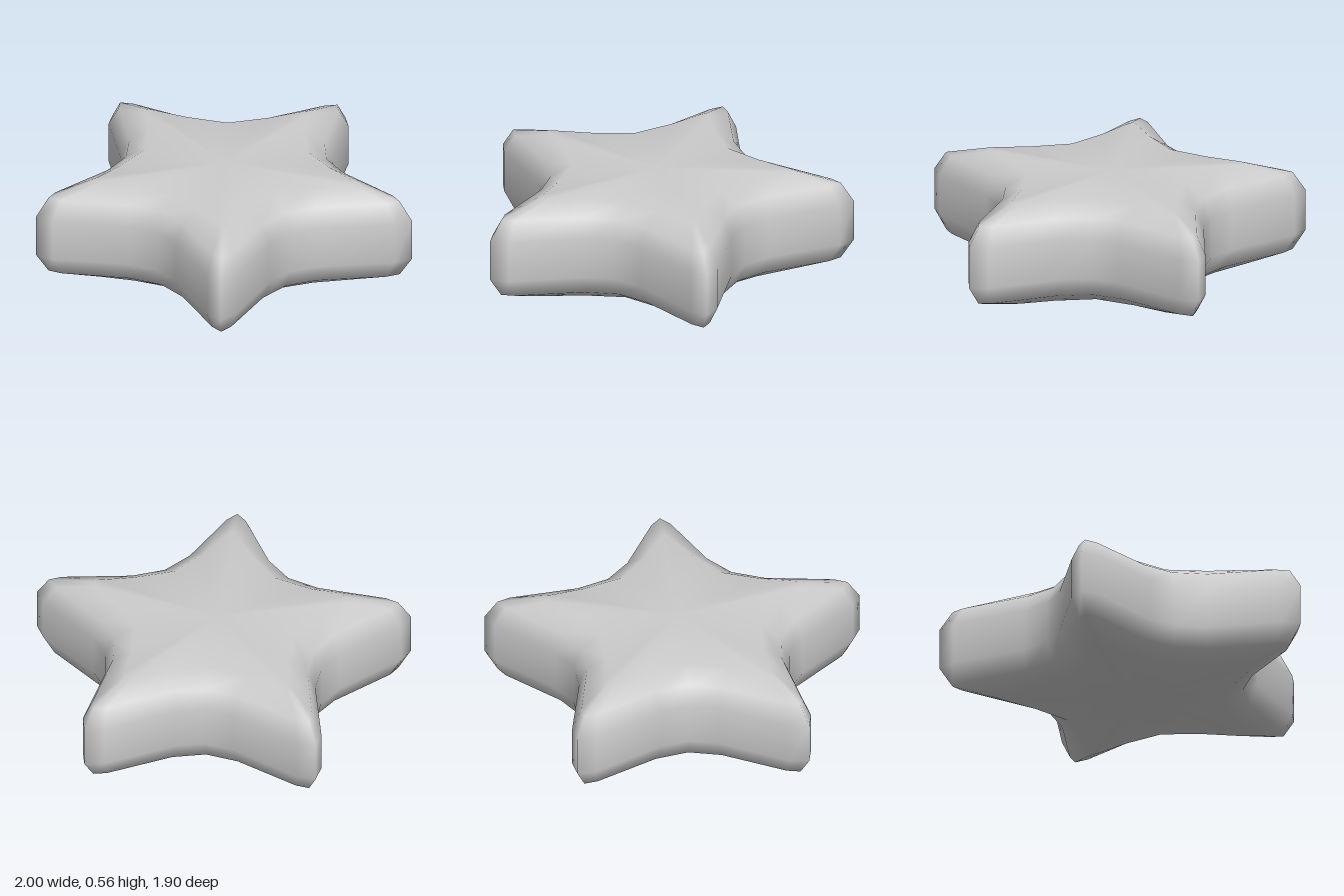
import * as THREE from 'three';

// Half an arm, as [sideways, outward] from its tip to the valley beside it
const valley = r => [r * Math.sin(Math.PI / 5), r * Math.cos(Math.PI / 5)];
const wide = [[0, 1.05], [0.075, 0.98], [0.25, 0.61], valley(0.605)];
const middle = [[0, 0.98], [0.05, 0.925], [0.212, 0.59], valley(0.56)];
const narrow = [[0, 0.738], [0.03, 0.7], [0.125, 0.54], valley(0.45)];

// Stacked outlines from the underside to the top
const levels = [
  [0, narrow], [0.065, middle], [0.17, wide],
  [0.395, wide], [0.5, middle], [0.565, narrow],
];
const CENTRE_Z = 0.1;

// Five mirrored arms, running clockwise seen from above, starting at the back
function starRing(half, y) {
  const arm = [...half, ...half.slice(1, 3).reverse().map(([s, o]) => [-s, o])];
  const points = [];
  for (let k = 0; k < 5; k++) {
    arm.forEach(([side, out], j) => {
      const a = (k + (j > 3 ? 1 : 0)) * Math.PI * 2 / 5;
      points.push(
        out * Math.sin(a) + side * Math.cos(a),
        y,
        CENTRE_Z - out * Math.cos(a) + side * Math.sin(a));
    });
  }
  return points;
}

function starGeometry() {
  const positions = levels.flatMap(([y, half]) => starRing(half, y));
  const n = 30, rings = levels.length, index = [];
  const bottom = n * rings, top = bottom + 1;
  positions.push(0, levels[0][0], CENTRE_Z, 0, levels[rings - 1][0], CENTRE_Z);
  for (let i = 0; i < n; i++) {
    const next = (i + 1) % n;
    // Rounded side wall
    for (let r = 0; r < rings - 1; r++) {
      const a = r * n + i, b = r * n + next;
      index.push(a, a + n, b, b, a + n, b + n);
    }
    // Flat underside and top
    index.push(bottom, i, next);
    index.push(top, (rings - 1) * n + next, (rings - 1) * n + i);
  }
  const geometry = new THREE.BufferGeometry();
  geometry.setAttribute('position', new THREE.Float32BufferAttribute(positions, 3));
  geometry.setIndex(index);
  geometry.computeVertexNormals();
  return geometry;
}

export function createModel() {
  const group = new THREE.Group();
  group.name = 'star';
  const body = new THREE.Mesh(starGeometry(), new THREE.MeshStandardMaterial({ color: 0xcccccc }));
  body.name = 'starBody';
  group.add(body);
  return group;
}
